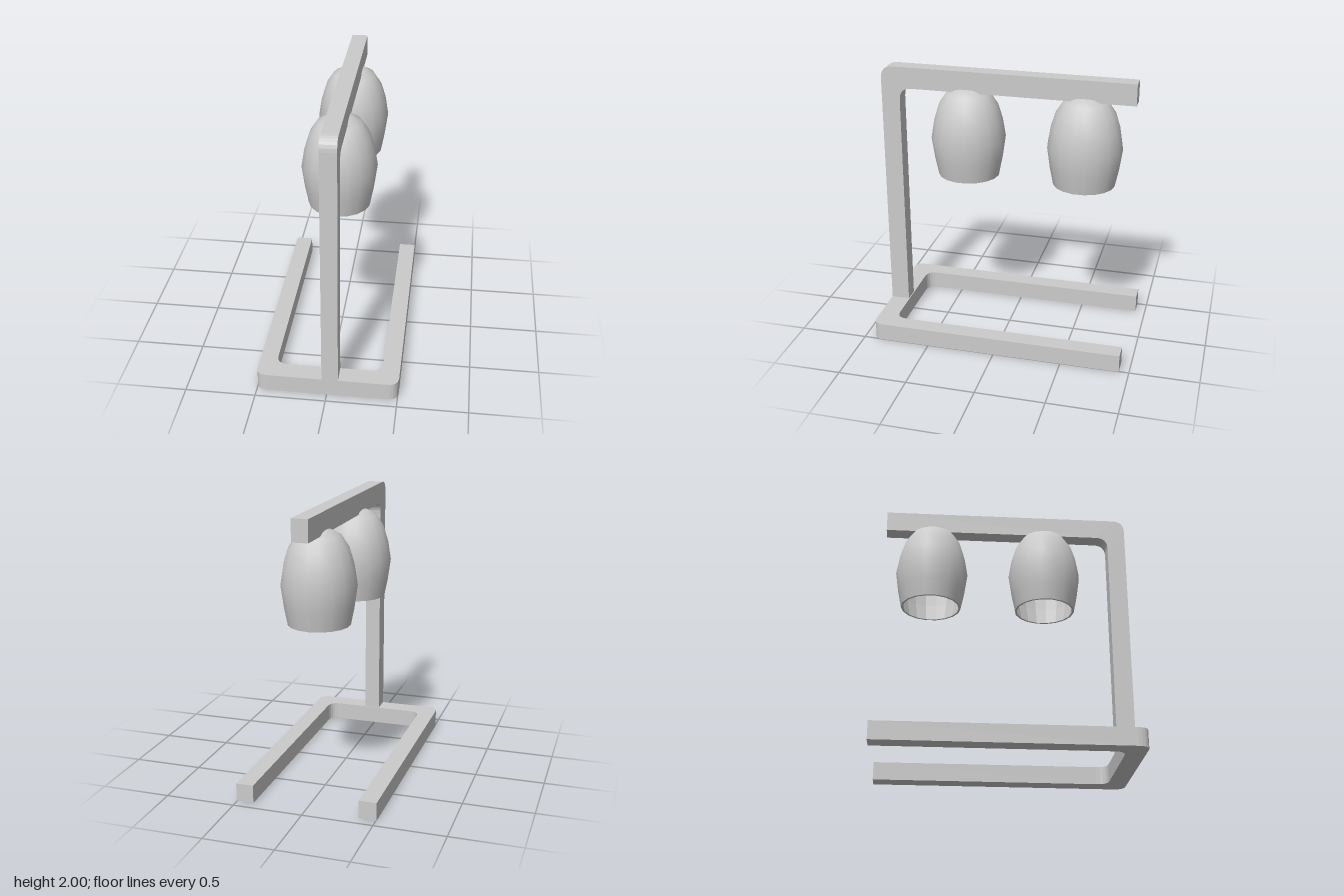
import * as THREE from 'three';

const grey = new THREE.MeshStandardMaterial({ color: 0xcccccc });
const greyFlat = new THREE.MeshStandardMaterial({ color: 0xcccccc, flatShading: true });

const FRONT = 0.928; // front plane shared by base and post
const BAR_X = 0.023; // centre of post and arm

function extrude(shape, depth) {
  return new THREE.ExtrudeGeometry(shape, { depth, bevelEnabled: false, curveSegments: 6 });
}

// U-shaped foot: two runners joined by a rounded front rail
function makeBase() {
  const w = 0.505, iw = 0.38, back = 0.928, inner = -0.787, r = 0.08;
  const s = new THREE.Shape();
  s.moveTo(-w, back);
  s.lineTo(-w, -FRONT + r);
  s.quadraticCurveTo(-w, -FRONT, -w + r, -FRONT);
  s.lineTo(w - r, -FRONT);
  s.quadraticCurveTo(w, -FRONT, w, -FRONT + r);
  s.lineTo(w, back);
  s.lineTo(iw, back);
  s.lineTo(iw, inner + r);
  s.quadraticCurveTo(iw, inner, iw - r, inner);
  s.lineTo(-iw + r, inner);
  s.quadraticCurveTo(-iw, inner, -iw, inner + r);
  s.lineTo(-iw, back);
  const mesh = new THREE.Mesh(extrude(s, 0.13).rotateX(-Math.PI / 2), grey);
  mesh.name = 'base';
  return mesh;
}

// Upright post bending into the horizontal arm, drawn in side profile
function makePostAndArm() {
  const end = -0.905, inner = 0.793, under = 1.845, ro = 0.09, ri = 0.09, width = 0.116;
  const s = new THREE.Shape();
  s.moveTo(FRONT, 0.13);
  s.lineTo(FRONT, 2 - ro);
  s.quadraticCurveTo(FRONT, 2, FRONT - ro, 2);
  s.lineTo(end, 2);
  s.lineTo(end, under);
  s.lineTo(inner - ri, under);
  s.quadraticCurveTo(inner, under, inner, under - ri);
  s.lineTo(inner, 0.13);
  const geo = extrude(s, width).rotateY(-Math.PI / 2).translate(BAR_X + width / 2, 0, 0);
  const mesh = new THREE.Mesh(geo, grey);
  mesh.name = 'postAndArm';
  return mesh;
}

// Hollow bell: smooth outside, faceted inside, closed by a flat rim
function makeShade(z) {
  const sides = 18, wall = 0.015;
  const profile = [
    [0.222, 1.22], [0.247, 1.345], [0.269, 1.5], [0.247, 1.635],
    [0.213, 1.745], [0.157, 1.83], [0.09, 1.865], [0, 1.878],
  ].map(([r, y]) => new THREE.Vector2(r, y));
  const lining = profile.map((p, i) =>
    new THREE.Vector2(Math.max(p.x - wall, 0), i < 4 ? p.y : p.y - wall)).reverse();
  const rim = [lining[lining.length - 1], profile[0]];

  const group = new THREE.Group();
  group.name = 'shade';
  const parts = [
    ['shadeOutside', profile, grey],
    ['shadeLining', lining, greyFlat],
    ['shadeRim', rim, greyFlat],
  ];
  for (const [name, points, material] of parts) {
    const mesh = new THREE.Mesh(new THREE.LatheGeometry(points, sides), material);
    mesh.name = name;
    group.add(mesh);
  }
  group.scale.x = 0.975;
  group.position.set(0.017, 0, z);
  return group;
}

export function createModel() {
  const model = new THREE.Group();
  model.name = 'hangingShadeStand';
  model.add(makeBase(), makePostAndArm());
  for (const z of [0.3, -0.55]) model.add(makeShade(z));
  return model;
}
